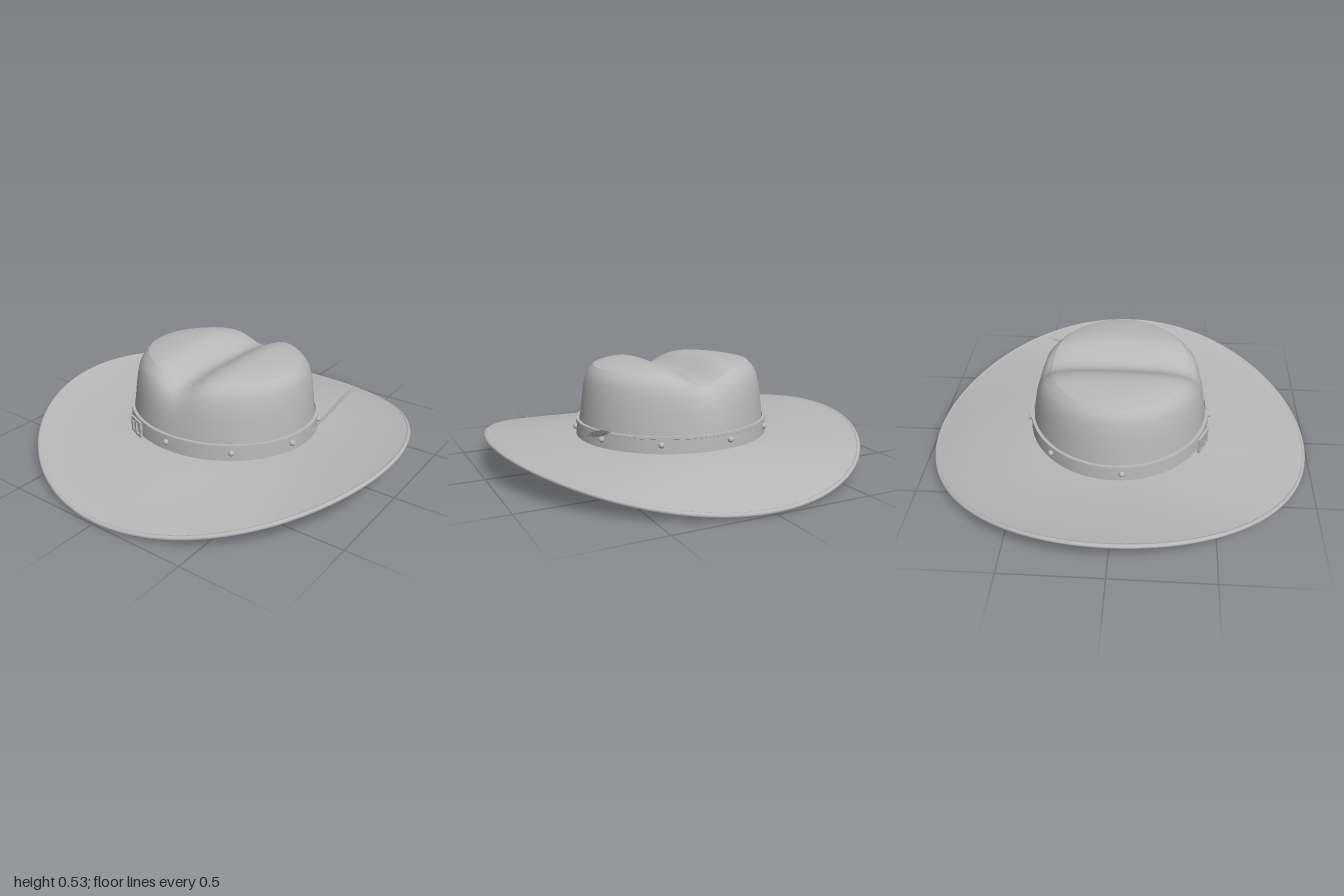
import * as THREE from 'three';
import { toCreasedNormals } from 'three/addons/utils/BufferGeometryUtils.js';

const SEG = 96;

// Closed-around surface from rings: point(ring, angle) gives [x, y, z]
function ringSurface(rings, point, crease) {
  const pos = [], idx = [];
  for (let i = 0; i < rings; i++) {
    for (let j = 0; j < SEG; j++) pos.push(...point(i, (j / SEG) * Math.PI * 2));
  }
  for (let i = 0; i < rings - 1; i++) {
    for (let j = 0; j < SEG; j++) {
      const a = i * SEG + j, b = i * SEG + ((j + 1) % SEG), c = a + SEG, d = b + SEG;
      idx.push(a, b, c, b, d, c);
    }
  }
  const geo = new THREE.BufferGeometry();
  geo.setAttribute('position', new THREE.Float32BufferAttribute(pos, 3));
  geo.setIndex(idx);
  geo.computeVertexNormals();
  return crease ? toCreasedNormals(geo, crease) : geo;
}

export function createModel() {
  const hat = new THREE.Group();
  hat.name = 'hat';
  const felt = new THREE.MeshStandardMaterial({ color: 0xb8b8b8, side: THREE.DoubleSide });
  felt.name = 'grey felt';

  const add = (name, geo, parent = hat) => {
    const mesh = new THREE.Mesh(geo, felt);
    mesh.name = name;
    parent.add(mesh);
    return mesh;
  };
  const lerp = THREE.MathUtils.lerp;

  // Brim: drops at front and back, lifts at the sides
  const brimPoint = (t, ang, lift) => {
    const c2 = Math.cos(ang) ** 2;
    const y = 0.13 - 0.118 * (1 - c2) * t ** 1.3 + 0.04 * c2 * t ** 2;
    return [lerp(0.485, 0.96, t) * Math.cos(ang), y + lift, lerp(0.45, 0.988, t) * Math.sin(ang)];
  };
  const steps = 14;
  add('brim', ringSurface(2 * steps + 2, (i, ang) =>
    i <= steps
      ? brimPoint(i / steps, ang, 0.009)
      : brimPoint((2 * steps + 1 - i) / steps, ang, -0.009), 0.7));

  // Rounded rim along the brim edge
  const rimCurve = new THREE.CatmullRomCurve3(
    Array.from({ length: 48 }, (_, i) => new THREE.Vector3(...brimPoint(1, (i / 48) * Math.PI * 2, 0))), true);
  add('brimEdge', new THREE.TubeGeometry(rimCurve, 144, 0.0115, 10, true));

  // Crown: centre crease dents the top and both ends
  const dent = (x) => 0.07 * Math.exp(-((x / 0.11) ** 2));
  add('crownTop', ringSurface(21, (i, ang) => {
    const s = i / 20;
    const x = 0.415 * s * Math.cos(ang), z = 0.355 * s * Math.sin(ang);
    return [x, 0.5 + 0.03 * (1 - s ** 4) - dent(x), z];
  }));

  // height, half width, half depth, dent strength
  const wall = [
    [0.5, 0.415, 0.355, 1], [0.485, 0.43, 0.375, 0.95], [0.465, 0.443, 0.395, 0.8],
    [0.44, 0.455, 0.415, 0.55], [0.39, 0.466, 0.43, 0.25], [0.33, 0.475, 0.44, 0.08],
    [0.22, 0.488, 0.452, 0], [0.125, 0.495, 0.46, 0],
  ];
  add('crownWall', ringSurface(wall.length, (i, ang) => {
    const [y, a, b, k] = wall[i];
    const x = a * Math.cos(ang);
    return [x, y - k * dent(x), b * Math.sin(ang) * (1 - 0.2 * k * (1 - k) * dent(x) / 0.07)];
  }));

  // Band with a raised upper lip: height, outward offset
  const band = [[0.221, -0.012], [0.221, 0.004], [0.209, 0.005], [0.207, 0.001], [0.136, 0.004], [0.136, -0.008]];
  add('band', ringSurface(band.length, (i, ang) => {
    const [y, o] = band[i];
    return [(0.504 + o) * Math.cos(ang), y, (0.467 + o) * Math.sin(ang)];
  }, 0.6));

  // Studs around the band
  const studGeo = new THREE.SphereGeometry(0.015, 16, 12);
  for (const deg of [91, 52, 14, -23, -60, -100, -137, -185]) {
    const ang = THREE.MathUtils.degToRad(deg);
    add('stud', studGeo).position.set(0.51 * Math.cos(ang), 0.182, 0.472 * Math.sin(ang));
  }

  // Buckle: open frame with a centre bar
  const buckle = new THREE.Group();
  buckle.name = 'buckle';
  const frame = new THREE.Shape([[-0.055, -0.042], [0.055, -0.042], [0.055, 0.042], [-0.055, 0.042]]
    .map((p) => new THREE.Vector2(...p)));
  frame.holes.push(new THREE.Path([[-0.04, -0.03], [-0.04, 0.03], [0.04, 0.03], [0.04, -0.03]]
    .map((p) => new THREE.Vector2(...p))));
  add('buckleFrame', new THREE.ExtrudeGeometry(frame, { depth: 0.012, bevelEnabled: false }), buckle);
  add('buckleBar', new THREE.BoxGeometry(0.012, 0.07, 0.012), buckle).position.z = 0.008;
  add('buckleProng', new THREE.BoxGeometry(0.02, 0.06, 0.01), buckle).position.set(-0.014, 0, 0.004);
  buckle.position.set(-0.229, 0.183, 0.432);
  buckle.rotation.y = -0.42;
  hat.add(buckle);

  // Feather: thin curved blade lying back along the left side
  const feather = new THREE.Group();
  feather.name = 'feather';
  const blade = new THREE.Shape();
  blade.moveTo(0, 0);
  blade.quadraticCurveTo(0.17, 0.085, 0.37, 0.11);
  blade.quadraticCurveTo(0.2, 0.03, 0, 0);
  const bladeGeo = new THREE.ShapeGeometry(blade, 16);
  const p = bladeGeo.attributes.position;
  for (let i = 0; i < p.count; i++) {
    const along = p.getX(i), up = p.getY(i);
    p.setXYZ(i, 0.507 + 0.06 * along, 0.18 + up, -0.08 - along);
  }
  bladeGeo.computeVertexNormals();
  add('featherBlade', bladeGeo, feather);
  const quill = new THREE.QuadraticBezierCurve3(
    new THREE.Vector3(0.506, 0.175, -0.06), new THREE.Vector3(0.518, 0.236, -0.26), new THREE.Vector3(0.529, 0.29, -0.45));
  add('featherQuill', new THREE.TubeGeometry(quill, 16, 0.002, 6), feather);
  hat.add(feather);

  return hat;
}
